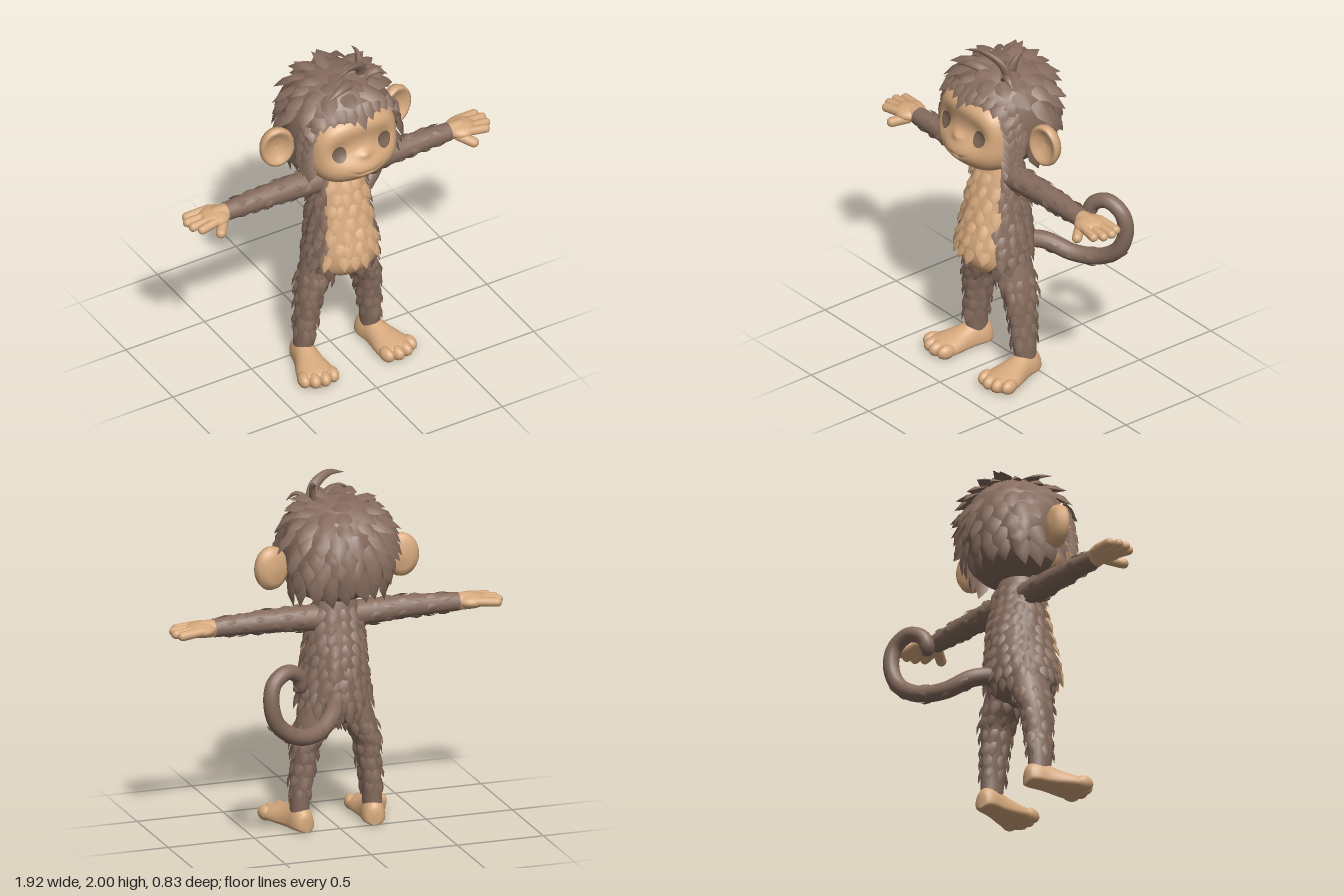
import * as THREE from 'three';
import { mergeGeometries, mergeVertices } from 'three/addons/utils/BufferGeometryUtils.js';

const V = (x, y, z) => new THREE.Vector3(x, y, z);
const TAU = Math.PI * 2;
let seed = 7;
const rand = () => (seed = (seed * 16807) % 2147483647) / 2147483647;
const jitter = (k) => 1 + (rand() - 0.5) * k;
const gauss = (x, y, sx, sy) => Math.exp(-((x / sx) ** 2) - (y / sy) ** 2);

// Smooth interpolation through rows of numbers
function sample(rows, v) {
  const n = rows.length - 1, f = Math.min(Math.max(v, 0) * n, n - 1e-6), i = Math.floor(f), t = f - i;
  return rows[0].map((_, k) => {
    const [a, b, c, d] = [-1, 0, 1, 2].map((o) => rows[Math.min(n, Math.max(0, i + o))][k]);
    return b + 0.5 * t * (c - a + t * (2 * a - 5 * b + 4 * c - d + t * (3 * (b - c) + d - a)));
  });
}

// Surface through horizontal ellipses, rows of [y, cx, cz, rx, rz] from top to bottom
const column = (rows, k = 1) => (v, a) => {
  const [y, cx, cz, rx, rz] = sample(rows, v);
  return V(cx + Math.max(0, rx) * k * Math.sin(a), y, cz + Math.max(0, rz) * k * Math.cos(a));
};

// Surface around a curve with a varying radius
function tube(points, radius, flat = 1) {
  const curve = new THREE.CatmullRomCurve3(points), n = 60, fr = curve.computeFrenetFrames(n);
  return (v, a) => {
    const f = Math.min(Math.max(v, 0), 0.99999) * n, i = Math.floor(f), r = radius(v);
    const N = fr.normals[i].clone().lerp(fr.normals[i + 1], f - i);
    const B = fr.binormals[i].clone().lerp(fr.binormals[i + 1], f - i);
    return curve.getPointAt(f / n).addScaledVector(N, r * Math.cos(a)).addScaledVector(B, -r * flat * Math.sin(a));
  };
}

// Mesh a surface function of (v, angle)
function loft(surf, nv, na) {
  const pos = [], idx = [];
  for (let i = 0; i <= nv; i++) for (let j = 0; j <= na; j++) {
    pos.push(...surf(i / nv, (j / na) * TAU).toArray());
    if (i < nv && j < na) {
      const p = i * (na + 1) + j, q = p + na + 1;
      idx.push(p, q, q + 1, p, q + 1, p + 1);
    }
  }
  const g = new THREE.BufferGeometry();
  g.setAttribute('position', new THREE.Float32BufferAttribute(pos, 3));
  g.setIndex(idx);
  const m = mergeVertices(g, 1e-5);
  m.computeVertexNormals();
  return m;
}

// One pointed, arched tuft of fur
function tuft(P, N, D, L, W, lift) {
  N.normalize(); D.normalize();
  const S = D.clone().cross(N).normalize(), h = W * 0.2;
  const at = (s, d, n) => P.clone().addScaledVector(S, s * W).addScaledVector(D, d * L).addScaledVector(N, n).toArray();
  const g = new THREE.BufferGeometry();
  g.setAttribute('position', new THREE.Float32BufferAttribute([
    at(-0.45, 0, -0.01), at(0, 0, h * 0.5), at(0.45, 0, -0.01),
    at(-0.45, 0.5, lift * 0.3), at(0, 0.5, lift * 0.5 + h), at(0.45, 0.5, lift * 0.3), at(0, 1, lift)].flat(), 3));
  g.setIndex([0, 1, 4, 0, 4, 3, 1, 2, 5, 1, 5, 4, 3, 4, 6, 4, 5, 6]);
  g.computeVertexNormals();
  return g;
}

// Rows of tufts growing along v on a surface
function fur(surf, { step, L, W, lift, gap = 1, skew = 0, keep = () => true }) {
  const out = [], e = 0.004;
  let run = step * 0.6, row = 0;
  for (let v = 0.02; v < 0.98; v += 0.004) {
    run += surf(v, 2).distanceTo(surf(v - 0.004, 2));
    if (run < step) continue;
    run = 0; row++;
    let girth = 0;
    for (let k = 0; k < 16; k++) girth += surf(v, k * TAU / 16).distanceTo(surf(v, (k + 1) * TAU / 16));
    const n = Math.round(girth / (W * gap * 0.9));
    if (n < 3) continue;
    for (let j = 0; j < n; j++) {
      const a = ((j + (row % 2) * 0.5 + rand() * 0.3) / n) * TAU % TAU, p = surf(v, a);
      if (!keep(p, a)) continue;
      const dv = surf(v + e, a).sub(surf(v - e, a)).normalize();
      const da = surf(v, a + 0.02).sub(surf(v, a - 0.02)).normalize();
      const N = dv.clone().cross(da);
      out.push(tuft(p, N, dv.addScaledVector(da, skew + (rand() - 0.5) * 0.4), L * jitter(0.4), W * jitter(0.3), lift * jitter(0.7)));
    }
  }
  return mergeGeometries(out);
}

function capsule(p, q, r) {
  const d = q.clone().sub(p), g = new THREE.CapsuleGeometry(r, d.length(), 5, 12);
  g.applyQuaternion(new THREE.Quaternion().setFromUnitVectors(V(0, 1, 0), d.clone().normalize()));
  return g.translate(...p.clone().add(q).multiplyScalar(0.5).toArray());
}
const ball = (x, y, z, sx, sy, sz) => new THREE.SphereGeometry(1, 20, 14).scale(sx, sy, sz).translate(x, y, z);

function mirrored(geo) {
  const g = geo.clone().scale(-1, 1, 1), ix = g.index.array;
  for (let i = 0; i < ix.length; i += 3) [ix[i], ix[i + 1]] = [ix[i + 1], ix[i]];
  return g;
}

// Face: rounded outline with muzzle, nose, eye sockets and smile
const FW = 0.27, FH = 0.23, FY = 1.525, FP = 2.67;
const faceR = (x, y) => (Math.abs(x / FW) ** FP + Math.abs((y - FY) / FH) ** FP) ** (1 / FP);
function faceZ(x, y) {
  const ax = Math.abs(x), smile = 1.405 + 3 * ax * ax + 0.012 * Math.exp(-((ax / 0.02) ** 2));
  return 0.18 + 0.16 * Math.sqrt(Math.max(0, 1 - faceR(x, y) ** 7))
    + 0.075 * gauss(x, y - 1.435, 0.17, 0.09) + 0.015 * gauss(x, y - 1.68, 0.2, 0.06)
    - 0.02 * gauss(ax - 0.14, y - 1.55, 0.06, 0.06) + 0.02 * gauss(x, y - 1.52, 0.04, 0.022)
    - 0.014 * gauss(y - smile, ax, 0.009, 0.075);
}
function faceSurf(v, a) {
  const t = v * 1.2, r = t < 1 ? Math.sin(t * Math.PI / 2) : 2 - t, c = Math.cos(a), s = Math.sin(a);
  const x = r * FW * Math.sign(c) * Math.abs(c) ** 0.75, y = FY + r * FH * Math.sign(s) * Math.abs(s) ** 0.75;
  return V(x, y, t < 1 ? faceZ(x, y) : 0.18 - (t - 1) * 0.6);
}

export function createModel() {
  const model = new THREE.Group();
  const mat = (name, color) => new THREE.MeshStandardMaterial({ name, color, side: THREE.DoubleSide });
  const brown = mat('brown fur', 0x866c5e), tan = mat('tan skin', 0xd6a97d), dark = mat('eye brown', 0x7a6352);
  const add = (name, geo, m) => {
    const mesh = new THREE.Mesh(geo, m);
    mesh.name = name;
    model.add(mesh);
  };
  const pair = (name, geo, m) => { add(name + 'Left', geo, m); add(name + 'Right', mirrored(geo), m); };

  // Torso and tan belly
  const torsoRows = [[1.36, 0, 0.085, 0.09, 0.08], [1.27, 0, 0.085, 0.125, 0.11], [1.18, 0, 0.09, 0.145, 0.13],
    [1.08, 0, 0.09, 0.155, 0.155], [0.98, 0, 0.095, 0.165, 0.175], [0.88, 0, 0.105, 0.18, 0.19],
    [0.78, 0, 0.115, 0.195, 0.2], [0.68, 0, 0.11, 0.195, 0.18], [0.61, 0, 0.1, 0.14, 0.12], [0.57, 0, 0.1, 0, 0]];
  const torso = column(torsoRows), outer = column(torsoRows, 1.05);
  const spread = (y) => 0.92 * Math.sqrt(THREE.MathUtils.clamp((y - 0.6) / 0.12, 0, 1));
  const belly = (v, a) => {
    const w = 0.02 + 0.88 * v;
    return outer(w, (a / Math.PI - 1) * spread(outer(w, 0).y));
  };
  add('torso', loft(torso, 36, 32), brown);
  add('torsoFur', fur(torso, { step: 0.065, L: 0.09, W: 0.062, lift: 0.018, gap: 1.15,
    keep: (p, a) => p.y > 0.66 && p.y < 1.29 && Math.min(a, TAU - a) > spread(p.y) }), brown);
  add('belly', loft(belly, 36, 24), tan);
  add('bellyFur', fur(belly, { step: 0.075, L: 0.095, W: 0.07, lift: 0.014, gap: 1.2, keep: (p) => p.y > 0.76 && p.y < 1.25 }), tan);

  // Head with layered hair
  const head = column([[1.9, 0, 0.06, 0, 0], [1.87, 0, 0.06, 0.13, 0.13], [1.79, 0, 0.065, 0.235, 0.23],
    [1.69, 0, 0.065, 0.285, 0.27], [1.57, 0, 0.065, 0.3, 0.275], [1.45, 0, 0.07, 0.28, 0.25],
    [1.36, 0, 0.08, 0.22, 0.2], [1.31, 0, 0.09, 0.12, 0.11], [1.3, 0, 0.09, 0, 0]]);
  add('head', loft(head, 40, 40), brown);
  add('hair', fur(head, { step: 0.07, L: 0.135, W: 0.105, lift: 0.036, skew: 0.2,
    keep: (p) => p.y > 1.44 && !(p.z > 0.1 && faceR(p.x, p.y) < (p.y > 1.65 ? 1.28 : 1.03))
      && !(Math.abs(p.x) > 0.26 && p.z > -0.01 && p.z < 0.13 && Math.abs(p.y - 1.57) < 0.1) }), brown);

  // Fringe forming a peak over the forehead
  const fringe = [];
  for (let i = 0; i < 11; i++) {
    const x = -0.25 + 0.05 * i, top = FY + FH * (1 - Math.abs(x / FW) ** FP) ** (1 / FP) + 0.05;
    fringe.push(tuft(V(x, top, 0.3 - 1.2 * x * x), V(x * 2, 0.5, 1), V(x, -1, 0.45),
      0.08 + 0.07 * Math.exp(-((x / 0.05) ** 2)), 0.09, 0.03));
  }
  add('fringe', mergeGeometries(fringe), brown);

  // Side hair framing the face
  const side = [];
  for (let i = 0; i < 7; i++) for (const z of [0.17, 0.23]) {
    const y = 1.75 - 0.05 * i - (z > 0.2 ? 0.02 : 0);
    side.push(tuft(V(0.235 + 0.05 * Math.sin(i / 6 * 2.6), y, z), V(1, 0.1, 0.35), V(0.15, -1, 0.25), 0.095 * jitter(0.3), 0.09, 0.018));
  }
  pair('sideHair', mergeGeometries(side), brown);

  // Curled locks on the crown
  const lock = (pts, r) => loft(tube(pts, (v) => r * Math.max(0, 1 - v ** 2.2), 0.6), 20, 10);
  add('crownLocks', mergeGeometries([
    lock([V(0.13, 1.83, 0.12), V(0.1, 1.93, 0.15), V(0.0, 1.982, 0.2), V(-0.11, 1.965, 0.24)], 0.034),
    lock([V(0.11, 1.83, 0.1), V(0.13, 1.92, 0.09), V(0.135, 1.965, 0.06), V(0.13, 1.975, 0.01)], 0.035),
    lock([V(0.12, 1.84, 0.14), V(0.16, 1.88, 0.16), V(0.2, 1.89, 0.18), V(0.25, 1.85, 0.19)], 0.03),
    lock([V(0.05, 1.83, 0.16), V(0.0, 1.88, 0.2), V(-0.08, 1.89, 0.24), V(-0.17, 1.85, 0.25)], 0.035)]), brown);

  // Face and eyes
  add('face', loft(faceSurf, 60, 96), tan);
  pair('eye', loft((v, a) => {
    const x = 0.143 + 0.042 * v * Math.cos(a), y = 1.545 + 0.048 * v * Math.sin(a);
    return V(x, y, faceZ(x, y) + 0.005);
  }, 6, 24), dark);

  // Cupped ears
  const earProfile = [[0, -0.045], [0.06, -0.04], [0.09, -0.02], [0.1, 0.01], [0.095, 0.035], [0.08, 0.04],
    [0.065, 0.02], [0.03, 0.005], [0, 0]].map(([r, y]) => new THREE.Vector2(r, y));
  pair('ear', new THREE.LatheGeometry(earProfile, 32).rotateX(Math.PI / 2).scale(1, 1.25, 1)
    .rotateY(0.2).translate(0.375, 1.515, 0.055), tan);

  // Arms
  const arm = tube([V(0.06, 1.2, 0.075), V(0.22, 1.205, 0.075), V(0.42, 1.21, 0.075), V(0.71, 1.205, 0.075)],
    (v) => 0.077 - 0.025 * v);
  pair('arm', loft(arm, 24, 18), brown);
  pair('armFur', fur(arm, { step: 0.08, L: 0.075, W: 0.042, lift: 0.004, gap: 2.1, keep: (p) => p.x > 0.14 && p.x < 0.6 }), brown);

  // Hands with four fingers and a thumb
  const fingers = [[0.015, 0.915, 0.003], [0.058, 0.936, 0.05], [0.1, 0.93, 0.102], [0.135, 0.9, 0.148]]
    .map(([z, x, tz]) => capsule(V(0.79, 1.212, z), V(x, 1.2, tz), 0.026));
  pair('hand', mergeGeometries([...fingers, capsule(V(0.75, 1.19, 0.12), V(0.805, 1.166, 0.186), 0.029),
    capsule(V(0.72, 1.205, 0.075), V(0.78, 1.205, 0.075), 0.05),
    ball(0.785, 1.206, 0.077, 0.088, 0.043, 0.09)]), tan);

  // Legs
  const leg = column([[0.7, 0.105, 0.08, 0.09, 0.11], [0.6, 0.128, 0.08, 0.098, 0.115], [0.5, 0.17, 0.078, 0.076, 0.103],
    [0.4, 0.186, 0.077, 0.066, 0.088], [0.3, 0.197, 0.076, 0.06, 0.078], [0.2, 0.208, 0.075, 0.055, 0.073], [0.1, 0.212, 0.07, 0.053, 0.066]]);
  pair('leg', loft(leg, 24, 20), brown);
  pair('legFur', fur(leg, { step: 0.07, L: 0.08, W: 0.052, lift: 0.012, gap: 1.4, keep: (p) => p.y > 0.2 && p.y < 0.6 }), brown);

  // Feet: flat soles, rounded toes, turned outwards
  const footRows = [[-0.085, 0, 0.06], [-0.075, 0.045, 0.11], [-0.03, 0.065, 0.145], [0.03, 0.068, 0.145],
    [0.09, 0.08, 0.125], [0.15, 0.097, 0.108], [0.21, 0.108, 0.095], [0.26, 0.098, 0.08], [0.285, 0, 0.05]];
  const foot = loft((v, a) => {
    const [z, w, h] = sample(footRows, v), s = -Math.sin(a);
    return V(Math.max(0, w) * Math.cos(a), s < 0 ? 0.035 - 0.035 * Math.abs(s) ** 0.75 : 0.035 + (h - 0.035) * s, z);
  }, 24, 28);
  const toes = [[-0.083, 0.24], [-0.029, 0.262], [0.029, 0.26], [0.082, 0.237]]
    .map(([x, z]) => ball(x, 0.043, z, 0.035, 0.042, 0.054));
  toes.forEach((t) => t.deleteAttribute('uv'));
  pair('foot', mergeGeometries([foot, ...toes]).rotateY(0.18).translate(0.212, 0, 0.065), tan);

  // Curled tail
  const tail = tube([V(0.04, 0.74, -0.02), V(0.1, 0.71, -0.15), V(0.22, 0.65, -0.25), V(0.36, 0.66, -0.32), V(0.49, 0.75, -0.36),
    V(0.535, 0.88, -0.375), V(0.515, 0.99, -0.36), V(0.43, 1.04, -0.33), V(0.35, 1.0, -0.295), V(0.335, 0.93, -0.28), V(0.375, 0.915, -0.275)],
    (v) => (0.05 - 0.008 * v) * Math.sqrt(Math.min(1, Math.max(0, (1 - v) * 25))));
  add('tail', loft(tail, 90, 16), brown);
  add('tailFur', fur(tail, { step: 0.1, L: 0.06, W: 0.035, lift: 0.002, gap: 2.6, keep: (p) => p.y < 0.72 && p.z < -0.1 }), brown);
  return model;
}
